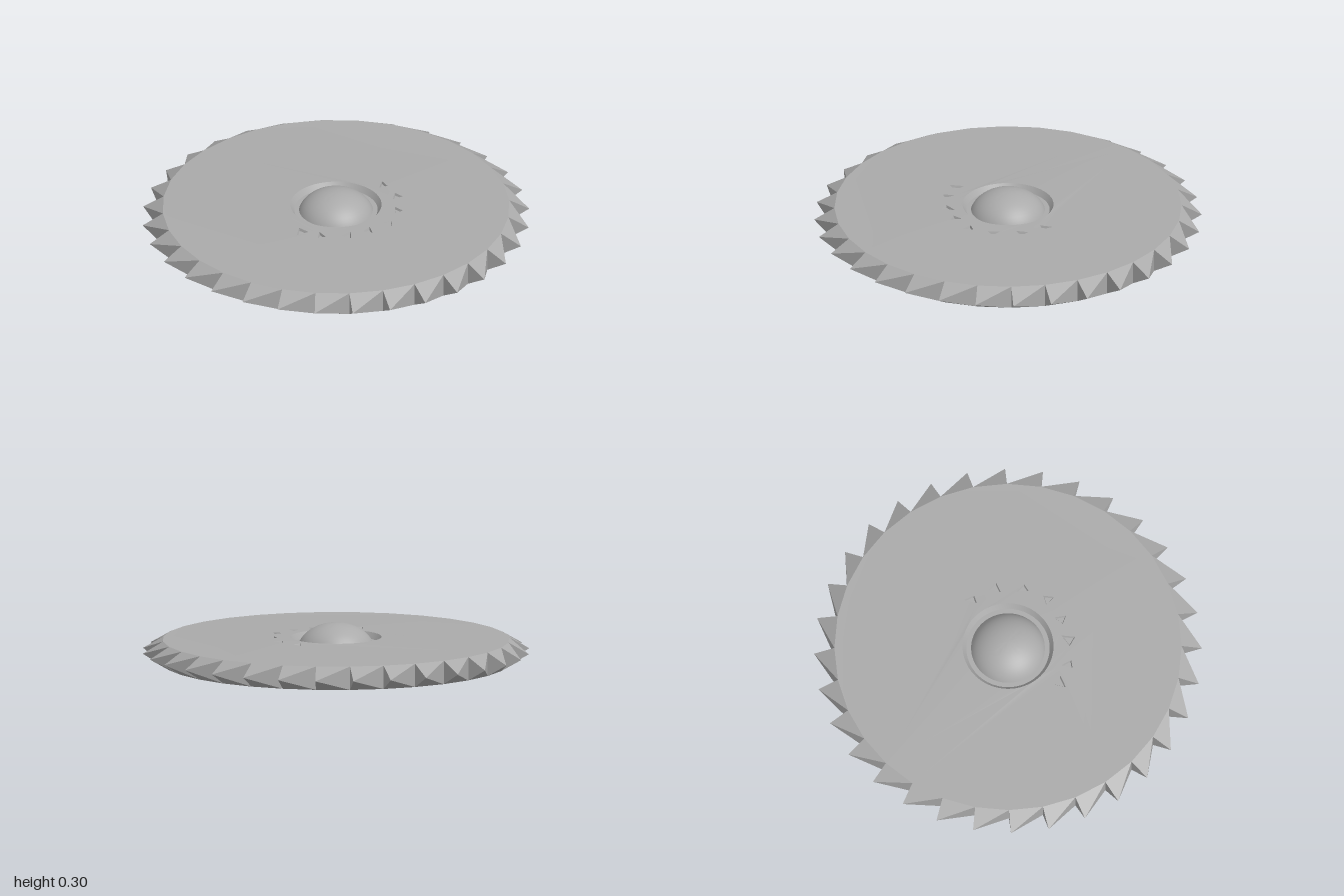
import * as THREE from 'three';
import { toCreasedNormals } from 'three/addons/utils/BufferGeometryUtils.js';

const TEETH = 32, RIM = 0.895, HUB = 0.235, MID = 0.15;
const STEP = (Math.PI * 2) / TEETH;

// Height of the blade face above its middle plane: thins slightly towards the rim
const faceHeight = (r) => 0.075 - 0.014 * (r - HUB) / (RIM - HUB);

// Small triangular recesses, three [x, z] corners each, in hundredths
const RECESSES = [
  [[2, -34], [7.5, -32], [5.5, -28]],
  [[15, -29], [20.5, -29], [18.5, -23.5]],
  [[24.5, -18], [30, -18], [29, -13.5]],
  [[30, -2], [36, -2], [32.5, -6.5]],
  [[28, 6], [33, 9.5], [28.5, 11.5]],
  [[22.5, 22.5], [28, 21], [23.5, 15.5]],
  [[12, 27], [17.5, 28.5], [15, 32]],
  [[1, 30.5], [7.5, 30.5], [5, 37]],
].map((tri) => {
  const pts = tri.map(([x, z]) => new THREE.Vector2(x / 100, -z / 100));
  return THREE.ShapeUtils.isClockWise(pts) ? pts.reverse() : pts;
});

function ringPoints(radius, count) {
  return Array.from({ length: count }, (_, i) => {
    const a = (i / count) * Math.PI * 2;
    return new THREE.Vector2(radius * Math.sin(a), radius * Math.cos(a));
  });
}

function facets(points) {
  const g = new THREE.BufferGeometry().setFromPoints(points);
  g.computeVertexNormals();
  return g;
}

// Blade face with hub opening and recess openings
function bladeFace() {
  const shape = new THREE.Shape(ringPoints(RIM, TEETH));
  shape.holes.push(new THREE.Path(ringPoints(HUB, 48)));
  RECESSES.forEach((tri) => shape.holes.push(new THREE.Path(tri)));
  const g = new THREE.ShapeGeometry(shape).rotateX(-Math.PI / 2);
  const p = g.attributes.position;
  for (let i = 0; i < p.count; i++) p.setY(i, faceHeight(Math.hypot(p.getX(i), p.getZ(i))));
  g.computeVertexNormals();
  return g;
}

// Sloping walls and floor of every recess
function recessLining() {
  const out = [];
  for (const tri of RECESSES) {
    const c = new THREE.Vector2().add(tri[0]).add(tri[1]).add(tri[2]).divideScalar(3);
    const top = tri.map((v) => new THREE.Vector3(v.x, faceHeight(v.length()), -v.y));
    const low = tri.map((v) => {
      const q = v.clone().lerp(c, 0.25);
      return new THREE.Vector3(q.x, faceHeight(c.length()) - 0.012, -q.y);
    });
    for (let i = 0; i < 3; i++) {
      const j = (i + 1) % 3;
      out.push(top[i], top[j], low[j], top[i], low[j], low[i]);
    }
    out.push(...low);
  }
  return facets(out);
}

// Pyramid teeth, each leaning to one end of its base
function teeth() {
  const h = faceHeight(RIM), out = [];
  const at = (r, a, y) => new THREE.Vector3(r * Math.sin(a), y, -r * Math.cos(a));
  for (let i = 0; i < TEETH; i++) {
    const a = i * STEP, b = a + STEP;
    const at0 = at(RIM, a, h), ab = at(RIM, a, -h), bt = at(RIM, b, h), bb = at(RIM, b, -h);
    const tip = at(1, b - 0.009, 0);
    out.push(at0, bt, tip, bt, bb, tip, bb, ab, tip, ab, at0, tip);
  }
  return facets(out);
}

// Hub groove and dome as lathes, profiles running from the outside inwards or bottom to top
function lathe(profile, crease) {
  const pts = profile.map(([x, y]) => new THREE.Vector2(x, y));
  return toCreasedNormals(new THREE.LatheGeometry(pts, 48), crease);
}

export function createModel() {
  const steel = new THREE.MeshStandardMaterial({ color: 0xaaaaaa });
  steel.name = 'steel';

  const grooveProfile = [[0.19, 0.045], [0.215, 0.045], [HUB, faceHeight(HUB)]].reverse();
  const domeProfile = [[0.197, 0.03]];
  for (let i = 0; i <= 10; i++) {
    const a = (0.22 + (1 - 0.22) * (i / 10)) * (Math.PI / 2);
    domeProfile.push([i === 10 ? 0 : 0.2 * Math.cos(a), 0.148 * Math.sin(a)]);
  }
  const parts = {
    bladeFace: bladeFace(),
    recesses: recessLining(),
    hubGroove: lathe(grooveProfile, 0.4),
    hubDome: lathe(domeProfile, 0.8),
  };

  const model = new THREE.Group();
  model.name = 'sawBlade';
  const add = (parent, name, geometry) => {
    const mesh = new THREE.Mesh(geometry, steel);
    mesh.name = name;
    parent.add(mesh);
  };

  // Same set of parts on the upper and lower side
  ['upperSide', 'lowerSide'].forEach((name, i) => {
    const side = new THREE.Group();
    side.name = name;
    for (const [part, geometry] of Object.entries(parts)) add(side, part, geometry);
    side.rotation.x = i * Math.PI;
    side.position.y = MID;
    model.add(side);
  });

  add(model, 'teeth', teeth().translate(0, MID, 0));
  return model;
}
